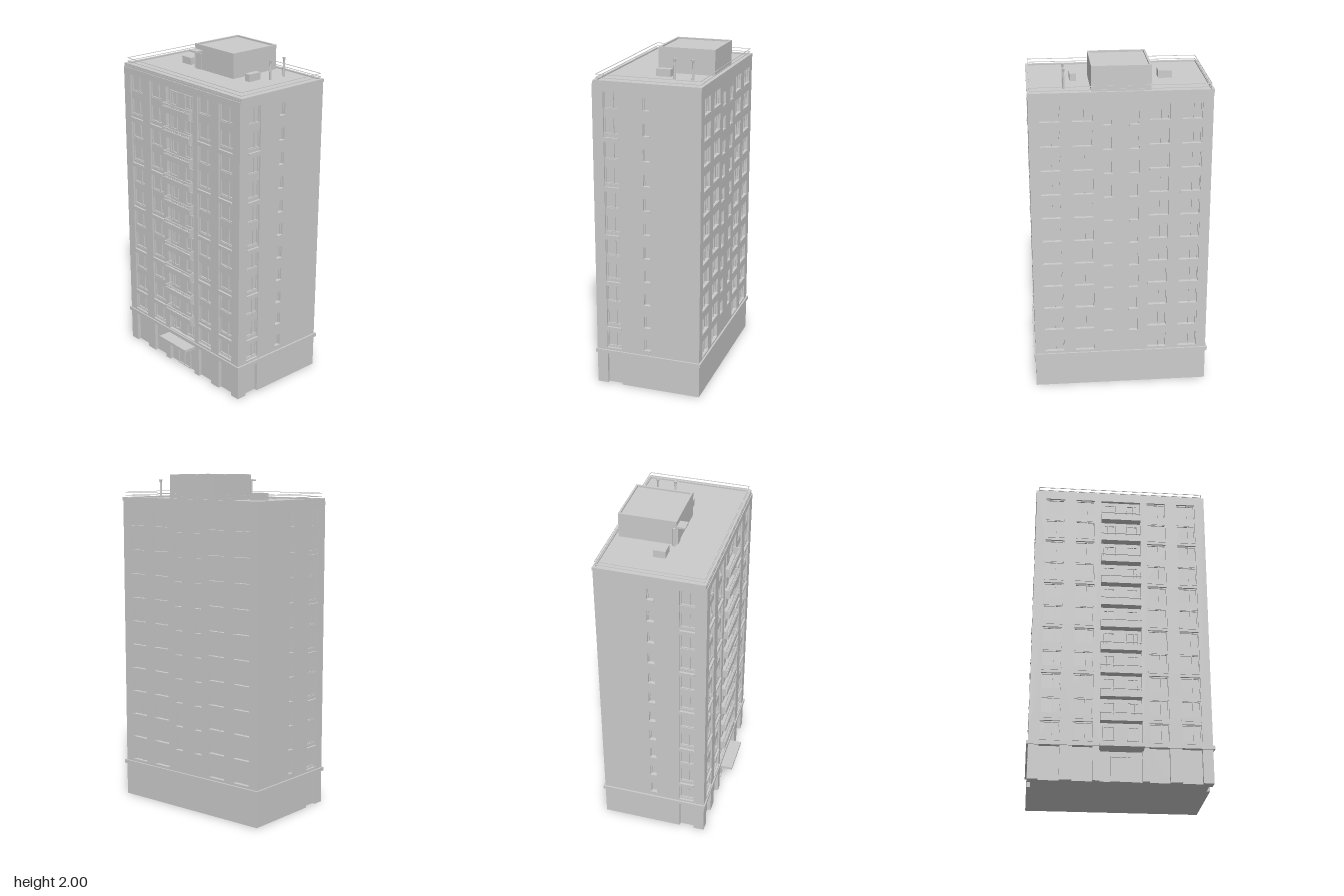
import * as THREE from 'three';

const T = 0.02;          // depth of the wall recesses
const FLOOR = 0.1457;    // storey height
const FLOORS = 11;
const mat = new THREE.MeshStandardMaterial({ color: 0xcccccc, flatShading: true });

function add(parent, name, geo, x = 0, y = 0, z = 0) {
  const m = new THREE.Mesh(geo, mat);
  m.name = name;
  m.position.set(x, y, z);
  parent.add(m);
  return m;
}

// box given by its minimum and maximum on each axis
function box(parent, name, x0, x1, y0, y1, z0, z1) {
  return add(parent, name, new THREE.BoxGeometry(x1 - x0, y1 - y0, z1 - z0),
    (x0 + x1) / 2, (y0 + y1) / 2, (z0 + z1) / 2);
}

function rectPath(Type, [x0, x1, y0, y1]) {
  return new Type([[x0, y0], [x1, y0], [x1, y1], [x0, y1]].map(p => new THREE.Vector2(...p)));
}

// flat plate with rectangular holes
function plate(outer, holes, depth) {
  const s = rectPath(THREE.Shape, outer);
  s.holes = holes.map(h => rectPath(THREE.Path, h));
  return new THREE.ExtrudeGeometry(s, { depth, bevelEnabled: false });
}

// window frame, split by one mullion at fraction f (0 = single pane)
function windowFrame(parent, [x0, x1, y0, y1], f) {
  const b = 0.006, m = x0 + (x1 - x0) * f;
  const panes = f
    ? [[x0 + b, m - b / 2, y0 + b, y1 - b], [m + b / 2, x1 - b, y0 + b, y1 - b]]
    : [[x0 + b, x1 - b, y0 + b, y1 - b]];
  add(parent, 'windowFrame', plate([x0, x1, y0, y1], panes, 0.008));
}

// two-storey recessed bays with windows, spandrels and sills
function bayBands(parent, x0, x1) {
  const holes = [];
  for (let k = 0; k < 6; k++) {
    const top = 1.8 - k * 2 * FLOOR, bottom = k < 5 ? top - 0.275 : 0.225;
    holes.push([x0, x1, bottom, top]);
    for (let j = 0; j < (k < 5 ? 2 : 1); j++) {
      const t = top - j * FLOOR, low = Math.max(t - 0.1, bottom + 0.005);
      windowFrame(parent, [x0, x1, low, t], 0.62);
      box(parent, 'spandrel', x0, x1, Math.max(t - FLOOR, bottom), low, 0, 0.011);
    }
    box(parent, 'sill', x0, x1, bottom, bottom + 0.012, 0, T + 0.004);
  }
  return holes;
}

// a column of single windows, one per storey
function windowColumn(parent, x0, x1, top, height, f) {
  const holes = [];
  for (let i = 0; i < FLOORS; i++) {
    const t = top - i * FLOOR, h = [x0, x1, t - height, t];
    holes.push(h);
    windowFrame(parent, h, f);
    box(parent, 'windowSill', x0, x1, t - height, t - height + 0.008, 0, T + 0.003);
  }
  return holes;
}

// a wall: local x along the wall, y up, z outward
function wall(model, name, width, x, z, turn, fill) {
  const g = new THREE.Group();
  g.name = name;
  g.position.set(x, 0, z);
  g.rotation.y = turn;
  const holes = fill(g);
  add(g, 'wallPanel', plate([-width / 2, width / 2, 0.21, 1.84], holes, T));
  model.add(g);
}

const BAYS = [[-0.46, -0.345], [-0.275, -0.16], [0.16, 0.275], [0.345, 0.46]];

function balcony(model, y, seed) {
  const g = new THREE.Group();
  g.name = 'balcony';
  box(g, 'balconyFloor', -0.12, 0.12, 0, 0.008, 0.265, 0.315);
  box(g, 'balconyFront', -0.12, 0.12, 0.008, 0.036, 0.309, 0.315);
  box(g, 'balconyRail', -0.12, 0.12, 0.048, 0.055, 0.309, 0.315);
  for (const s of [-1, 1]) {
    box(g, 'balconySide', Math.min(s * 0.12, s * 0.114), Math.max(s * 0.12, s * 0.114), 0.008, 0.055, 0.265, 0.309);
  }
  // uneven planting behind the front panel
  for (let i = 0; i < 12; i++) {
    const h = 0.024 + 0.02 * Math.abs(Math.sin(i * 2.3 + seed * 1.7));
    add(g, 'balconyPlant', new THREE.ConeGeometry(0.01, h, 4), -0.1 + i * 0.018, 0.008 + h / 2, 0.298);
  }
  g.position.y = y;
  model.add(g);
}

export function createModel() {
  const model = new THREE.Group();
  model.name = 'apartmentTower';

  // base storey with recessed bays along the front and front corners
  const half = [[0.12, 0.262], [0.12, 0.285], [0.16, 0.285], [0.16, 0.262], [0.275, 0.262], [0.275, 0.285],
    [0.345, 0.285], [0.345, 0.262], [0.46, 0.262], [0.46, 0.285], [0.52, 0.285], [0.52, 0.22], [0.5, 0.22],
    [0.5, 0.13], [0.52, 0.13], [0.52, -0.355]];
  const plan = [...half, ...half.map(([x, z]) => [-x, z]).reverse()];
  const baseGeo = new THREE.ExtrudeGeometry(new THREE.Shape(plan.map(([x, z]) => new THREE.Vector2(x, -z))),
    { depth: 0.2, bevelEnabled: false });
  baseGeo.rotateX(-Math.PI / 2);
  add(model, 'base', baseGeo);
  box(model, 'baseLedge', -0.53, 0.53, 0.198, 0.22, -0.365, 0.293);

  // entrance
  add(model, 'entranceDoors', plate([-0.06, 0.06, 0, 0.15],
    [[-0.053, -0.003, 0.006, 0.143], [0.003, 0.053, 0.006, 0.143]], 0.008), 0, 0, 0.262);
  box(model, 'entranceCanopy', -0.125, 0.125, 0.175, 0.193, 0.262, 0.365);

  // core seen at the back of every recess
  box(model, 'core', -0.5, 0.5, 0.2, 1.84, -0.335, 0.265);

  wall(model, 'frontWall', 1.04, 0, 0.265, 0, g => {
    const holes = BAYS.flatMap(([a, b]) => bayBands(g, a, b));
    holes.push([-0.12, 0.12, 0.225, 1.8]);
    for (let i = 0; i < FLOORS; i++) {
      const t = 1.78 - i * FLOOR;
      windowFrame(g, [-0.103, -0.035, t - 0.085, t], 0.35);
      windowFrame(g, [0.035, 0.103, t - 0.085, t], 0.65);
      box(g, 'balconyDoorPanel', -0.03, 0.03, t - 0.125, t, 0, 0.005);
    }
    return holes;
  });

  wall(model, 'backWall', 1.04, 0, -0.335, Math.PI, g => [
    ...BAYS.flatMap(([a, b]) => windowColumn(g, a, b, 1.785, 0.1, 0.6)),
    ...[-1, 1].flatMap(s => windowColumn(g, s * 0.075 - 0.028, s * 0.075 + 0.028, 1.745, 0.085, 0)),
  ]);

  for (const s of [1, -1]) {
    wall(model, s > 0 ? 'leftWall' : 'rightWall', 0.6, s * 0.5, -0.035, s * Math.PI / 2, g => {
      const a = s > 0 ? -0.255 : 0.165;
      return [...bayBands(g, a, a + 0.09), ...windowColumn(g, -0.02, 0.02, 1.78, 0.08, 0)];
    });
  }

  for (let i = 0; i < FLOORS - 1; i++) balcony(model, 0.343 + i * FLOOR, i);

  // roof slab, low parapet and wire railing
  box(model, 'roof', -0.52, 0.52, 1.835, 1.852, -0.355, 0.28);
  const parapet = add(model, 'parapet', plate([-0.523, 0.523, -0.278, 0.357], [[-0.508, 0.508, -0.264, 0.343]], 0.02), 0, 1.841, 0);
  parapet.rotation.x = -Math.PI / 2;
  for (const y of [1.872, 1.891]) {
    for (const z of [-0.345, 0.266]) box(model, 'railWire', -0.508, 0.508, y - 0.0015, y + 0.0015, z - 0.0015, z + 0.0015);
    for (const x of [-0.508, 0.508]) box(model, 'railWire', x - 0.0015, x + 0.0015, y - 0.0015, y + 0.0015, -0.345, 0.266);
  }

  // roof house with a shallow rim, door and door canopy
  box(model, 'roofHouse', -0.172, 0.165, 1.85, 1.99, -0.322, 0.016);
  const rim = add(model, 'roofHouseRim', plate([-0.172, 0.165, -0.016, 0.322], [[-0.16, 0.153, -0.005, 0.311]], 0.012), 0, 1.988, 0);
  rim.rotation.x = -Math.PI / 2;
  box(model, 'roofDoor', -0.165, -0.115, 1.852, 1.95, 0.016, 0.021);
  box(model, 'roofDoorCanopy', -0.172, -0.105, 1.96, 1.97, 0.016, 0.065);
  add(model, 'drainPipe', new THREE.CylinderGeometry(0.008, 0.008, 0.115, 6), -0.184, 1.907, 0.004);

  // vents and equipment boxes
  box(model, 'roofUnit', -0.32, -0.24, 1.85, 1.895, -0.075, -0.005);
  box(model, 'roofUnit', 0.237, 0.274, 1.85, 1.895, -0.094, -0.007);
  for (const z of [-0.24, -0.133]) {
    add(model, 'ventPipe', new THREE.CylinderGeometry(0.006, 0.008, 0.1, 6), 0.315, 1.9, z);
    add(model, 'ventCap', new THREE.CylinderGeometry(0.01, 0.006, 0.018, 6), 0.315, 1.957, z);
  }
  return model;
}
